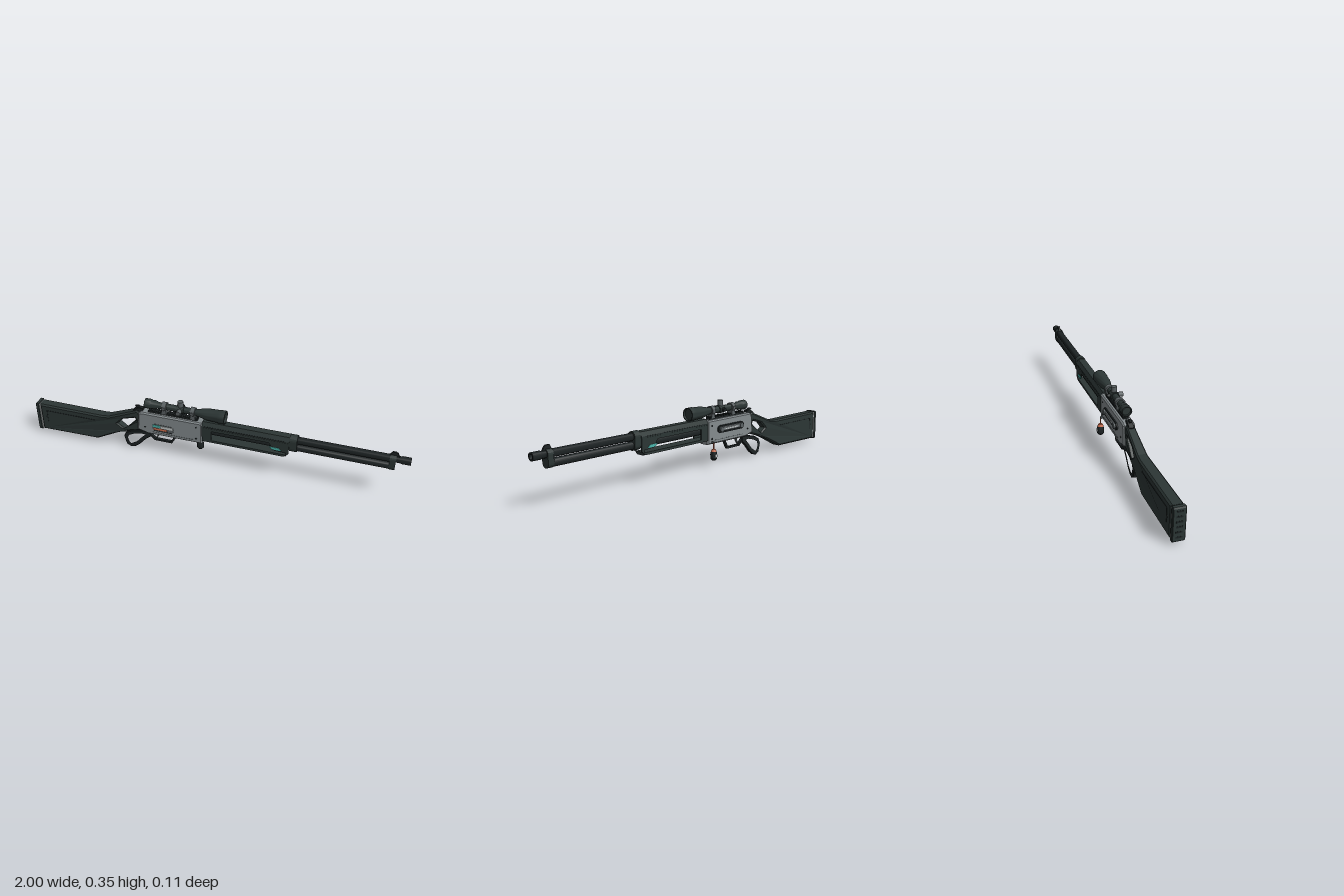
import * as THREE from 'three';
import { toCreasedNormals } from 'three/addons/utils/BufferGeometryUtils.js';

const mat = (name, color) => Object.assign(new THREE.MeshStandardMaterial({ color }), { name });

export function createModel() {
  const polymer = mat('dark green polymer', 0x2c3635);
  const black = mat('black steel', 0x1d2324);
  const steel = mat('receiver steel', 0x848b8e);
  const grey = mat('mid grey metal', 0x5b6264);
  const pale = mat('pale metal', 0xc3c8c8);
  const teal = mat('teal', 0x4bb5ab);
  const copper = mat('copper', 0xc4694a);

  const model = new THREE.Group();
  const rifle = new THREE.Group();
  rifle.name = 'rifle';
  rifle.position.z = 0.007;
  model.add(rifle);

  const add = (name, geo, material, x = 0, y = 0, z = 0) => {
    const m = new THREE.Mesh(geo, material);
    m.name = name;
    m.position.set(x, y, z);
    rifle.add(m);
    return m;
  };
  const box = (name, material, w, h, d, x, y, z = 0) =>
    add(name, new THREE.BoxGeometry(w, h, d), material, x, y, z);
  const shapeOf = (pts, holes = []) => {
    const s = new THREE.Shape(pts.map(p => new THREE.Vector2(...p)));
    for (const h of holes) s.holes.push(new THREE.Path(h.map(p => new THREE.Vector2(...p))));
    return s;
  };
  // side profile (x, y) with thickness centred on z
  const slab = (pts, depth, bevel = 0, holes) => {
    const g = new THREE.ExtrudeGeometry(shapeOf(pts, holes), {
      depth: depth - 2 * bevel, bevelEnabled: bevel > 0, bevelSize: bevel,
      bevelThickness: bevel, bevelOffset: -bevel, bevelSegments: 1,
    });
    return g.translate(0, 0, bevel - depth / 2);
  };
  // cross-section (z, y) pulled along x
  const bar = (pts, x0, x1) =>
    new THREE.ExtrudeGeometry(shapeOf(pts.map(([z, y]) => [-z, y])), { depth: x1 - x0, bevelEnabled: false })
      .rotateY(Math.PI / 2).translate(x0, 0, 0);
  // turned part along x from [x, radius] points
  const turned = (pts, sides = 24) => toCreasedNormals(
    new THREE.LatheGeometry(pts.map(([x, r]) => new THREE.Vector2(r, x)), sides).rotateZ(-Math.PI / 2), 0.6);
  const tube = (x0, x1, r) => turned([[x0, 0], [x0, r], [x1, r], [x1, 0]]);
  const disc = (r, d, sides = 20) => new THREE.CylinderGeometry(r, r, d, sides).rotateX(Math.PI / 2);
  const stadium = (x0, x1, y, r) => {
    const pts = [];
    for (let i = 0; i <= 8; i++) pts.push([x1 - r + r * Math.sin(i * Math.PI / 8), y - r * Math.cos(i * Math.PI / 8)]);
    for (let i = 0; i <= 8; i++) pts.push([x0 + r - r * Math.sin(i * Math.PI / 8), y + r * Math.cos(i * Math.PI / 8)]);
    return pts;
  };

  // stock with thumbhole, narrowed towards the wrist
  const stock = slab(
    [[-0.974, 0.02], [-0.644, 0.026], [-0.527, 0.085], [-0.473, 0.108], [-0.385, 0.135],
      [-0.385, 0.245], [-0.404, 0.252], [-0.564, 0.186], [-0.6, 0.182], [-0.974, 0.182]],
    0.06, 0.008,
    [[[-0.517, 0.15], [-0.484, 0.183], [-0.415, 0.204], [-0.408, 0.187], [-0.435, 0.16], [-0.473, 0.118]]]);
  const sp = stock.attributes.position;
  for (let i = 0; i < sp.count; i++)
    sp.setZ(i, sp.getZ(i) * (1 - 0.3 * THREE.MathUtils.smoothstep(sp.getX(i), -0.65, -0.45)));
  stock.computeVertexNormals();
  add('stock', stock, polymer);
  for (const s of [1, -1]) {
    box('stockPanel', black, 0.29, 0.003, 0.002, -0.79, 0.148, s * 0.0302);
    box('stockPanelEnd', black, 0.003, 0.07, 0.002, -0.935, 0.113, s * 0.0302);
    add('stockScrew', disc(0.006, 0.002), black, -0.94, 0.11, s * 0.0302);
  }
  box('buttSpacer', pale, 0.006, 0.155, 0.054, -0.977, 0.101);
  add('buttPad', slab([[-1, 0.024], [-0.996, 0.017], [-0.98, 0.017], [-0.98, 0.185], [-0.996, 0.185], [-1, 0.178]], 0.06, 0.003), polymer);
  for (let i = 0; i < 6; i++) box('padGroove', black, 0.002, 0.008, 0.03, -1, 0.04 + i * 0.025);

  // receiver
  add('receiver', slab(
    [[-0.4, 0.143], [-0.34, 0.127], [-0.04, 0.127], [-0.04, 0.255], [-0.375, 0.255], [-0.39, 0.245]], 0.06, 0.007), steel);
  add('tang', slab([[-0.42, 0.235], [-0.37, 0.245], [-0.37, 0.268], [-0.395, 0.268], [-0.425, 0.25]], 0.024), black);
  add('hammer', slab([[-0.385, 0.25], [-0.37, 0.25], [-0.395, 0.278], [-0.415, 0.274]], 0.012), black);
  for (const s of [1, -1]) {
    for (const [x, y] of [[-0.072, 0.225], [-0.355, 0.17], [-0.072, 0.155]])
      add('receiverScrew', disc(0.005, 0.003), black, x, y, s * 0.03);
    box('receiverSeam', grey, 0.23, 0.003, 0.002, -0.2, 0.146, s * 0.0301);
  }

  // ejection port, bolt and loaded shell
  add('ejectionPort', slab(stadium(-0.315, -0.195, 0.177, 0.022), 0.002), grey, 0, 0, 0.0302);
  box('bolt', pale, 0.075, 0.014, 0.005, -0.236, 0.186, 0.031);
  box('boltMark', teal, 0.042, 0.012, 0.006, -0.288, 0.188, 0.031);
  add('shell', tube(-0.305, -0.232, 0.008), copper, 0, 0.168, 0.026);
  box('portLine', black, 0.1, 0.003, 0.003, -0.255, 0.158, 0.031);

  // side plate and control on the far side
  add('sidePlate', slab(stadium(-0.315, -0.11, 0.2, 0.02), 0.008, 0, [stadium(-0.303, -0.122, 0.2, 0.012)]), black, 0, 0, -0.033);
  add('sideRail', slab(stadium(-0.29, -0.13, 0.2, 0.01), 0.012, 0.002), steel, 0, 0, -0.036);
  for (const x of [-0.29, -0.135]) add('sideKnob', disc(0.014, 0.017, 12), grey, x, 0.2, -0.038);
  box('sideInlay', pale, 0.09, 0.005, 0.003, -0.21, 0.2, -0.042);

  // lever loop, trigger guard and trigger
  add('leverLoop', slab(
    [[-0.492, 0.064], [-0.479, 0.091], [-0.441, 0.112], [-0.388, 0.123], [-0.334, 0.13], [-0.334, 0.096],
      [-0.366, 0.07], [-0.404, 0.027], [-0.43, 0.008], [-0.455, 0], [-0.479, 0.015]], 0.018, 0.003,
    [[[-0.473, 0.059], [-0.463, 0.08], [-0.43, 0.096], [-0.388, 0.107], [-0.361, 0.102],
      [-0.382, 0.08], [-0.414, 0.043], [-0.452, 0.02], [-0.465, 0.033]]]), black);
  add('triggerGuard', slab(
    [[-0.345, 0.105], [-0.312, 0.076], [-0.215, 0.076], [-0.185, 0.13], [-0.197, 0.13],
      [-0.221, 0.086], [-0.307, 0.086], [-0.345, 0.122]], 0.016), black);
  add('trigger', slab([[-0.3, 0.13], [-0.285, 0.13], [-0.288, 0.108], [-0.3, 0.092], [-0.305, 0.094], [-0.297, 0.11]], 0.01), grey);

  // handguard: roof, floor and open-windowed sides
  add('handguardRoof', bar([[-0.03, 0.218], [0.03, 0.218], [0.03, 0.242], [0.018, 0.264], [-0.018, 0.264], [-0.03, 0.242]], -0.04, 0.414), polymer);
  add('handguardFloor', bar([[-0.022, 0.148], [0.022, 0.148], [0.03, 0.156], [0.03, 0.163], [-0.03, 0.163], [-0.03, 0.156]], -0.04, 0.4), polymer);
  for (const s of [1, -1]) {
    add('handguardSide', slab(
      [[-0.04, 0.15], [0.39, 0.15], [0.414, 0.17], [0.414, 0.235], [-0.04, 0.235]], 0.007, 0,
      [[[0.01, 0.163], [0.4, 0.163], [0.4, 0.175], [0.335, 0.18], [0.305, 0.23], [0.01, 0.23]]]), polymer, 0, 0, s * 0.0275);
    add('handguardMark', slab([[0.315, 0.197], [0.33, 0.183], [0.378, 0.183], [0.363, 0.197]], 0.003), teal, 0, 0, s * 0.0315);
    box('handguardSeam', black, 0.42, 0.003, 0.002, 0.18, 0.241, s * 0.0302);
  }

  // barrel, magazine tube, bands and sights
  add('barrel', turned([[-0.04, 0], [-0.04, 0.019], [0.93, 0.019], [0.93, 0.017], [0.955, 0.017], [0.955, 0.0195],
    [1, 0.0195], [1, 0.012], [0.97, 0.012], [0.97, 0]]), black, 0, 0.244);
  add('magazineTube', turned([[-0.04, 0], [-0.04, 0.0195], [0.915, 0.0195], [0.925, 0.014], [0.925, 0]]), black, 0, 0.202);
  const bandSection = r => {
    const pts = [];
    for (let i = 0; i <= 10; i++) pts.push([r * Math.cos(i * Math.PI / 10), 0.244 + r * Math.sin(i * Math.PI / 10)]);
    for (let i = 0; i <= 10; i++) pts.push([-r * Math.cos(i * Math.PI / 10), 0.204 - r * Math.sin(i * Math.PI / 10)]);
    return pts;
  };
  add('rearBand', bar(bandSection(0.027), 0.414, 0.452), polymer);
  add('frontBand', bar(bandSection(0.023), 0.9, 0.93), polymer);
  add('frontSight', slab([[0.895, 0.26], [0.945, 0.26], [0.935, 0.278], [0.925, 0.284], [0.908, 0.284]], 0.009), black);

  // toothed rail
  box('rail', black, 0.27, 0.01, 0.026, -0.205, 0.259);
  for (let i = 0; i < 13; i++) box('railTooth', black, 0.011, 0.008, 0.032, -0.33 + i * 0.021, 0.266);

  // scope
  const scopeY = 0.3;
  add('scope', turned([[-0.345, 0], [-0.345, 0.021], [-0.356, 0.021], [-0.356, 0.026], [-0.325, 0.026], [-0.32, 0.023],
    [-0.3, 0.023], [-0.285, 0.017], [-0.08, 0.017], [-0.015, 0.031], [0.04, 0.033], [0.045, 0.035],
    [0.078, 0.035], [0.078, 0.03], [0.066, 0.03], [0.066, 0]], 28), polymer, 0, scopeY);
  for (const x of [-0.25, -0.095]) {
    add('scopeRing', tube(-0.012, 0.012, 0.024), grey, x, scopeY);
    box('ringFoot', grey, 0.024, 0.026, 0.034, x, 0.274);
    box('ringClamp', grey, 0.018, 0.012, 0.052, x, scopeY);
  }
  add('turretBlock', tube(-0.02, 0.02, 0.022), polymer, -0.163, scopeY);
  add('topTurret', new THREE.CylinderGeometry(0.0145, 0.0145, 0.03, 16), grey, -0.163, 0.333);
  add('sideTurret', disc(0.0125, 0.03, 16), grey, -0.163, scopeY, 0.03);
  add('sideCap', disc(0.01, 0.02, 16), black, -0.163, scopeY, -0.027);

  // hanging charm
  const cx = -0.072, cz = -0.041;
  box('charmHook', grey, 0.01, 0.01, 0.014, cx, 0.138, -0.035);
  add('charmCord', new THREE.CylinderGeometry(0.003, 0.003, 0.035, 8), copper, cx, 0.118, cz);
  add('charmCap', new THREE.CylinderGeometry(0.01, 0.016, 0.012, 12), copper, cx, 0.097, cz);
  add('charmBody', toCreasedNormals(new THREE.LatheGeometry(
    [[0, 0.044], [0.011, 0.044], [0.018, 0.053], [0.019, 0.075], [0.015, 0.092], [0, 0.092]].map(p => new THREE.Vector2(...p)), 12), 0.6),
  black, cx, 0, cz);
  add('charmBadge', disc(0.009, 0.004, 12), pale, cx, 0.07, cz - 0.0175);

  return model;
}
